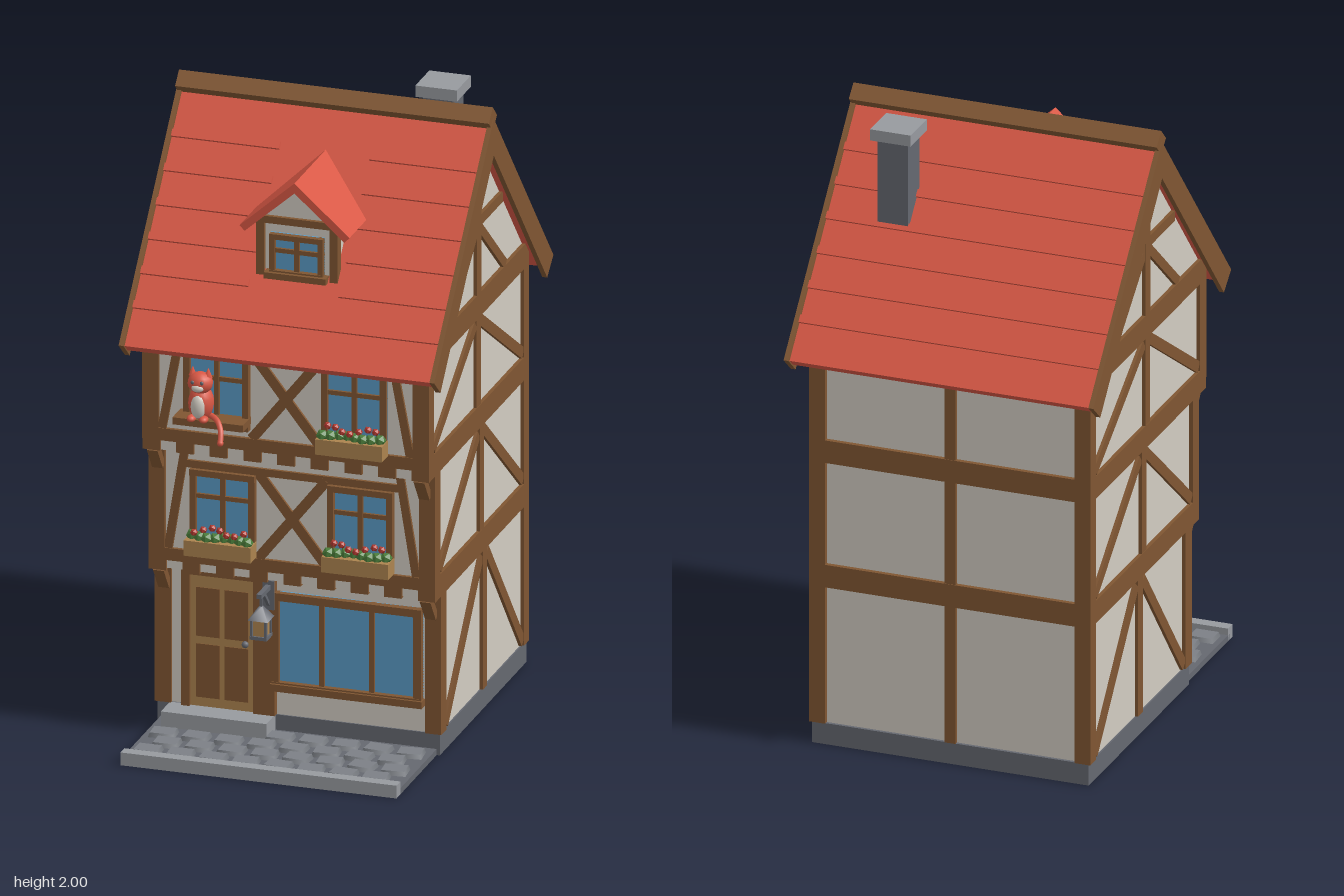
import * as THREE from 'three';

const mat = (name, color) => {
  const m = new THREE.MeshStandardMaterial({ color });
  m.name = name;
  return m;
};

export function createModel() {
  const M = {
    wall: mat('plaster', 0xd2ccc2), wood: mat('timber', 0x805632), red: mat('roofRed', 0xd95845),
    glass: mat('glass', 0x5a9bc6), tan: mat('lightWood', 0xac844f), stone: mat('paleStone', 0x979a9f),
    dark: mat('darkStone', 0x656870), cobble: mat('cobble', 0x7c8086), green: mat('leaf', 0x4c7f3c),
    bloom: mat('bloom', 0xb23a30),
  };
  const root = new THREE.Group();
  root.name = 'townHouse';
  let parent = root;
  const group = (name, build) => {
    const g = new THREE.Group(), old = parent;
    g.name = name;
    parent.add(g);
    parent = g;
    build();
    parent = old;
    return g;
  };
  const add = (name, geo, m, x = 0, y = 0, z = 0) => {
    const o = new THREE.Mesh(geo, m);
    o.name = name;
    o.position.set(x, y, z);
    parent.add(o);
    return o;
  };
  // box given by its min and max on each axis
  const box = (name, m, x0, x1, y0, y1, z0, z1) =>
    add(name, new THREE.BoxGeometry(x1 - x0, y1 - y0, z1 - z0), m, (x0 + x1) / 2, (y0 + y1) / 2, (z0 + z1) / 2);
  // slanted timber in a front plane (xy) or in a side plane (zy)
  const frontBar = (name, m, x0, y0, x1, y1, z, w = 0.032, d = 0.02) => {
    const o = add(name, new THREE.BoxGeometry(w, Math.hypot(x1 - x0, y1 - y0), d), m, (x0 + x1) / 2, (y0 + y1) / 2, z);
    o.rotation.z = Math.atan2(x0 - x1, y1 - y0);
  };
  const sideBar = (name, m, z0, y0, z1, y1, x, w = 0.036, d = 0.022) => {
    const o = add(name, new THREE.BoxGeometry(d, Math.hypot(z1 - z0, y1 - y0), w), m, x, (y0 + y1) / 2, (z0 + z1) / 2);
    o.rotation.x = Math.atan2(z1 - z0, y1 - y0);
  };
  const extrude = (pts, depth) =>
    new THREE.ExtrudeGeometry(new THREE.Shape(pts.map(p => new THREE.Vector2(...p))), { depth, bevelEnabled: false });
  // profile of (z, y) points swept across x
  const across = (name, m, pts, x0, x1) =>
    add(name, extrude(pts, x1 - x0).translate(0, 0, x0 * -1 - (x1 - x0)).rotateY(-Math.PI / 2), m);

  const ZC = -0.085, SL = 1.144, ANG = Math.atan(SL);
  const floors = [[0.07, 0.53, 0.27], [0.6, 0.94, 0.33], [1.015, 1.31, 0.39]];

  // plaster body with overhanging storeys, on a stone base
  box('foundation', M.dark, -0.455, 0.455, 0, 0.07, -0.56, 0.275);
  across('walls', M.wall, [[-0.55, 0.07], [0.27, 0.07], [0.27, 0.53], [0.33, 0.53], [0.33, 0.94], [0.39, 0.94],
    [0.39, 1.357], [ZC, 1.9], [-0.55, 1.368]], -0.45, 0.45);

  group('timberFrame', () => {
    // ring beams, joist ends and jetty brackets
    [[0.525, 0.27], [0.94, 0.33]].forEach(([y, z]) => {
      box('sillBeam', M.wood, -0.462, 0.462, y + 0.035, y + 0.075, -0.565, z + 0.072);
      box('lintelBeam', M.wood, -0.462, 0.462, y, y + 0.036, -0.565, z + 0.014);
      for (let i = -4; i <= 4; i++) {
        const x = i * 0.1085;
        box('joistEnd', M.wood, x - 0.028, x + 0.028, y, y + 0.036, z, z + 0.07);
      }
      for (const s of [-1, 1]) sideBar('bracket', M.wood, z + 0.01, y - 0.07, z + 0.062, y + 0.005, s * 0.43, 0.025, 0.035);
    });
    box('eaveBeam', M.wood, -0.462, 0.462, 1.305, 1.383, -0.565, 0.402);

    floors.forEach(([y0, y1, zf]) => {
      const zm = (zf - 0.553) / 2 - 0.002, zo = zf + 0.012;
      box('backPost', M.wood, -0.018, 0.018, y0, y1, -0.563, -0.54);
      for (const s of [-1, 1]) {
        const x = s * 0.436;
        box('frontCornerPost', M.wood, x - 0.026, x + 0.026, y0, y1, zo - 0.052, zo);
        box('backCornerPost', M.wood, x - 0.026, x + 0.026, y0, y1, -0.565, -0.517);
        box('sidePost', M.wood, s * 0.45 - 0.011, s * 0.45 + 0.011, y0, y1, zm - 0.02, zm + 0.02);
        sideBar('sideBrace', M.wood, zf - 0.045, y0 + 0.015, zm + 0.025, y1 - 0.02, s * 0.449);
        sideBar('sideBrace', M.wood, -0.515, y0 + 0.015, zm - 0.025, y1 - 0.02, s * 0.449);
      }
    });
    // crossed and leaning braces on the upper front
    floors.slice(1).forEach(([y0, y1, zf]) => {
      const top = y0 + 0.28;
      for (const s of [-1, 1]) {
        frontBar('crossBrace', M.wood, -s * 0.11, y0, s * 0.11, top, zf + s * 0.001);
        frontBar('leaningBrace', M.wood, s * 0.4, y0, s * 0.345, y1, zf, 0.026);
      }
      box('windowRail', M.wood, -0.35, 0.35, y0 + 0.272, y0 + 0.296, zf - 0.01, zf + 0.01);
    });
    // gable timbers
    for (const s of [-1, 1]) {
      const x = s * 0.45;
      box('kingPost', M.wood, x - 0.012, x + 0.012, 1.38, 1.88, ZC - 0.02, ZC + 0.02);
      box('collarBeam', M.wood, x - 0.011, x + 0.011, 1.6, 1.635, ZC - 0.23, ZC + 0.23);
      for (const t of [-1, 1]) sideBar('gableBrace', M.wood, ZC + t * 0.26, 1.385, ZC + t * 0.015, 1.595, x, 0.032);
    }
  });

  // main roof: chevron slab, raised tile edges, bargeboards and ridge
  const chevron = (name, m, apex, h, t, x0, x1) => {
    const y = apex - h * SL, a = h - t * Math.sin(ANG), b = y - t * Math.cos(ANG), c = apex - t / Math.cos(ANG);
    across(name, m, [[ZC - h, y], [ZC - a, b], [ZC, c], [ZC + a, b], [ZC + h, y], [ZC, apex]], x0, x1);
  };
  group('roof', () => {
    chevron('roofSlab', M.red, 1.948, 0.565, 0.036, -0.497, 0.497);
    for (const s of [-1, 1]) chevron('bargeboard', M.wood, 1.963, 0.575, 0.08, s * 0.501 - 0.008, s * 0.501 + 0.008);
    const tile = (d, t, x0, x1) => {
      const o = box('tileEdge', M.red, x0, x1, -0.008, 0.008, -0.012, 0.012);
      o.position.y = 1.952 - d * SL;
      o.position.z = ZC + t * d;
      o.rotation.x = t * ANG;
    };
    for (let i = 0; i < 6; i++) {
      const d = 0.105 + i * 0.0745;
      tile(d, -1, -0.493, 0.493);
      if (i === 5) tile(d, 1, -0.493, 0.493);
      else for (const s of [-1, 1]) tile(d, 1, Math.min(s * 0.145, s * 0.493), Math.max(s * 0.145, s * 0.493));
    }
    const ridge = box('ridgeBeam', M.wood, -0.506, 0.506, -0.028, 0.028, -0.028, 0.028);
    ridge.position.set(0, 1.96, ZC);
    ridge.rotation.x = Math.PI / 4;
  });

  group('chimney', () => {
    box('chimneyShaft', M.dark, 0.225, 0.325, 1.5, 1.945, -0.343, -0.247);
    box('chimneyCap', M.stone, 0.208, 0.342, 1.945, 1.982, -0.363, -0.228);
  });

  // framed window with panes; z is the wall plane
  const windowAt = (name, x0, x1, y0, y1, z, cols, bars, f = 0.02) => group(name, () => {
    box('pane', M.glass, x0, x1, y0, y1, z, z + 0.006);
    for (const x of [x0, x1 - f]) box('frameSide', M.wood, x, x + f, y0, y1, z, z + 0.022);
    for (const y of [y0, y1 - f]) box('frameRail', M.wood, x0, x1, y, y + f, z, z + 0.024);
    for (let i = 1; i < cols; i++) {
      const x = x0 + (x1 - x0) * i / cols;
      box('mullion', M.wood, x - 0.008, x + 0.008, y0, y1, z, z + 0.016);
    }
    for (const y of bars) box('glazingBar', M.wood, x0, x1, y - 0.007, y + 0.007, z, z + 0.015);
  });
  const flowerBox = (x, y, z) => group('flowerBox', () => {
    box('planter', M.tan, x - 0.108, x + 0.108, y, y + 0.05, z, z + 0.06);
    for (let i = 0; i < 8; i++) {
      const px = x - 0.091 + i * 0.026, k = Math.sin(i * 5 + x * 9);
      add('leaves', new THREE.IcosahedronGeometry(0.02, 0), M.green, px, y + 0.058, z + 0.032 + k * 0.008);
      if (i % 8 !== 7) add('flower', new THREE.IcosahedronGeometry(0.0125, 0), M.bloom, px + 0.012, y + 0.08 + k * 0.006, z + 0.034 - k * 0.012);
    }
  });
  for (const s of [-1, 1]) {
    const x = s * 0.222;
    windowAt('middleWindow', x - 0.105, x + 0.105, 0.625, 0.872, 0.33, 2, [0.785]);
    windowAt('upperWindow', x - 0.105, x + 0.105, 1.04, 1.3, 0.39, 2, [1.2]);
    flowerBox(x, 0.605, 0.34);
  }
  flowerBox(0.222, 1.013, 0.4);
  box('windowSill', M.wood, -0.342, -0.115, 1.06, 1.083, 0.39, 0.47);
  windowAt('shopWindow', -0.085, 0.4, 0.158, 0.475, 0.27, 3, [], 0.025);
  box('shopSill', M.wood, -0.085, 0.405, 0.155, 0.178, 0.27, 0.302);

  group('door', () => {
    box('doorLeaf', M.tan, -0.348, -0.14, 0.07, 0.505, 0.27, 0.28);
    for (const x of [-0.328, -0.236]) for (const [y0, y1] of [[0.1, 0.275], [0.3, 0.46]])
      box('doorPanel', M.wood, x, x + 0.076, y0, y1, 0.278, 0.283);
    box('doorPost', M.wood, -0.373, -0.347, 0.07, 0.53, 0.265, 0.292);
    box('doorPost', M.wood, -0.141, -0.072, 0.07, 0.53, 0.265, 0.292);
    box('doorHead', M.wood, -0.373, -0.072, 0.502, 0.53, 0.265, 0.292);
    add('doorKnob', new THREE.SphereGeometry(0.011, 10, 8), M.dark, -0.168, 0.292, 0.289);
    box('doorStep', M.stone, -0.415, -0.075, 0.02, 0.07, 0.27, 0.363);
  });

  group('dormer', () => {
    add('dormerWalls', extrude([[-0.122, 1.48], [0.122, 1.48], [0.122, 1.69], [0, 1.8], [-0.122, 1.69]], 0.28), M.wall);
    add('dormerRoof', extrude([[0, 1.835], [-0.177, 1.677], [-0.161, 1.66], [0, 1.802], [0.161, 1.66], [0.177, 1.677]], 0.316), M.red);
    for (const s of [-1, 1]) box('dormerPost', M.wood, s * 0.119 - 0.013, s * 0.119 + 0.013, 1.505, 1.7, 0.26, 0.294);
    box('dormerRail', M.wood, -0.13, 0.13, 1.685, 1.708, 0.26, 0.293);
    windowAt('dormerWindow', -0.086, 0.086, 1.52, 1.655, 0.28, 2, [1.6], 0.017);
    box('dormerSill', M.wood, -0.1, 0.1, 1.512, 1.532, 0.27, 0.316);
  });

  group('lantern', () => {
    const x = -0.09, z = 0.37;
    box('bracketPlate', M.dark, x - 0.018, x + 0.018, 0.42, 0.515, 0.285, 0.3);
    box('bracketArm', M.dark, x - 0.008, x + 0.008, 0.488, 0.502, 0.285, 0.39);
    sideBar('bracketStrut', M.dark, 0.295, 0.435, 0.345, 0.49, x, 0.01, 0.01);
    box('hanger', M.dark, x - 0.004, x + 0.004, 0.45, 0.49, z - 0.004, z + 0.004);
    add('lanternRoof', new THREE.CylinderGeometry(0.008, 0.046, 0.04, 4).rotateY(Math.PI / 4), M.dark, x, 0.438, z);
    box('lanternLight', M.tan, x - 0.022, x + 0.022, 0.364, 0.42, z - 0.022, z + 0.022);
    box('lanternBase', M.dark, x - 0.028, x + 0.028, 0.355, 0.366, z - 0.028, z + 0.028);
    for (const a of [-1, 1]) for (const b of [-1, 1])
      box('lanternPost', M.dark, x + a * 0.023 - 0.004, x + a * 0.023 + 0.004, 0.36, 0.422, z + b * 0.023 - 0.004, z + b * 0.023 + 0.004);
  });

  // cat sitting on the upper sill
  group('cat', () => {
    const x = -0.257, z = 0.447;
    const ball = (name, m, r, sx, sy, sz, px, py, pz) =>
      add(name, new THREE.SphereGeometry(r, 14, 10), m, px, py, pz).scale.set(sx, sy, sz);
    ball('body', M.red, 0.042, 0.95, 1.35, 1, x, 1.135, z);
    ball('belly', M.wall, 0.03, 0.8, 1.3, 0.6, x, 1.13, z + 0.029);
    ball('head', M.red, 0.038, 1.05, 0.92, 0.95, x, 1.202, z + 0.008);
    ball('muzzle', M.wall, 0.018, 1.1, 0.7, 0.7, x, 1.193, z + 0.036);
    for (const s of [-1, 1]) {
      add('ear', new THREE.ConeGeometry(0.014, 0.032, 4), M.red, x + s * 0.025, 1.237, z + 0.005);
      ball('eye', M.dark, 0.006, 1, 1, 0.6, x + s * 0.015, 1.212, z + 0.04);
      ball('paw', M.red, 0.014, 1, 0.8, 1.4, x + s * 0.02, 1.092, z + 0.034);
    }
    const path = new THREE.CatmullRomCurve3([[x + 0.02, 1.095, z - 0.01], [x + 0.06, 1.09, z + 0.025],
      [x + 0.08, 1.065, z + 0.05], [x + 0.085, 1.035, z + 0.07]].map(p => new THREE.Vector3(...p)));
    add('tail', new THREE.TubeGeometry(path, 14, 0.009, 8), M.red);
    ball('tailTip', M.red, 0.01, 1, 1, 1, x + 0.085, 1.035, z + 0.07);
  });

  // cobbled pavement with a kerb
  group('pavement', () => {
    box('pavementBed', M.dark, -0.445, 0.445, 0, 0.02, 0.27, 0.64);
    box('kerb', M.stone, -0.445, 0.445, 0, 0.042, 0.625, 0.663);
    for (let r = 0; r < 4; r++) for (let c = 0; c < 8; c++) {
      const k = Math.sin(r * 12.9 + c * 78.2), x = (c - 3.5) * 0.105 + (r % 2 ? 0.018 : -0.018), z = 0.577 - r * 0.076;
      if (z < 0.38 && x < -0.04) continue;
      const o = add('cobble', new THREE.CylinderGeometry(0.047, 0.053, 0.016, 4).rotateY(Math.PI / 4), M.cobble, x, 0.027, z);
      o.scale.set(1.1, 1, 0.88);
      o.rotation.y = k * 0.1;
    }
  });
  return root;
}
